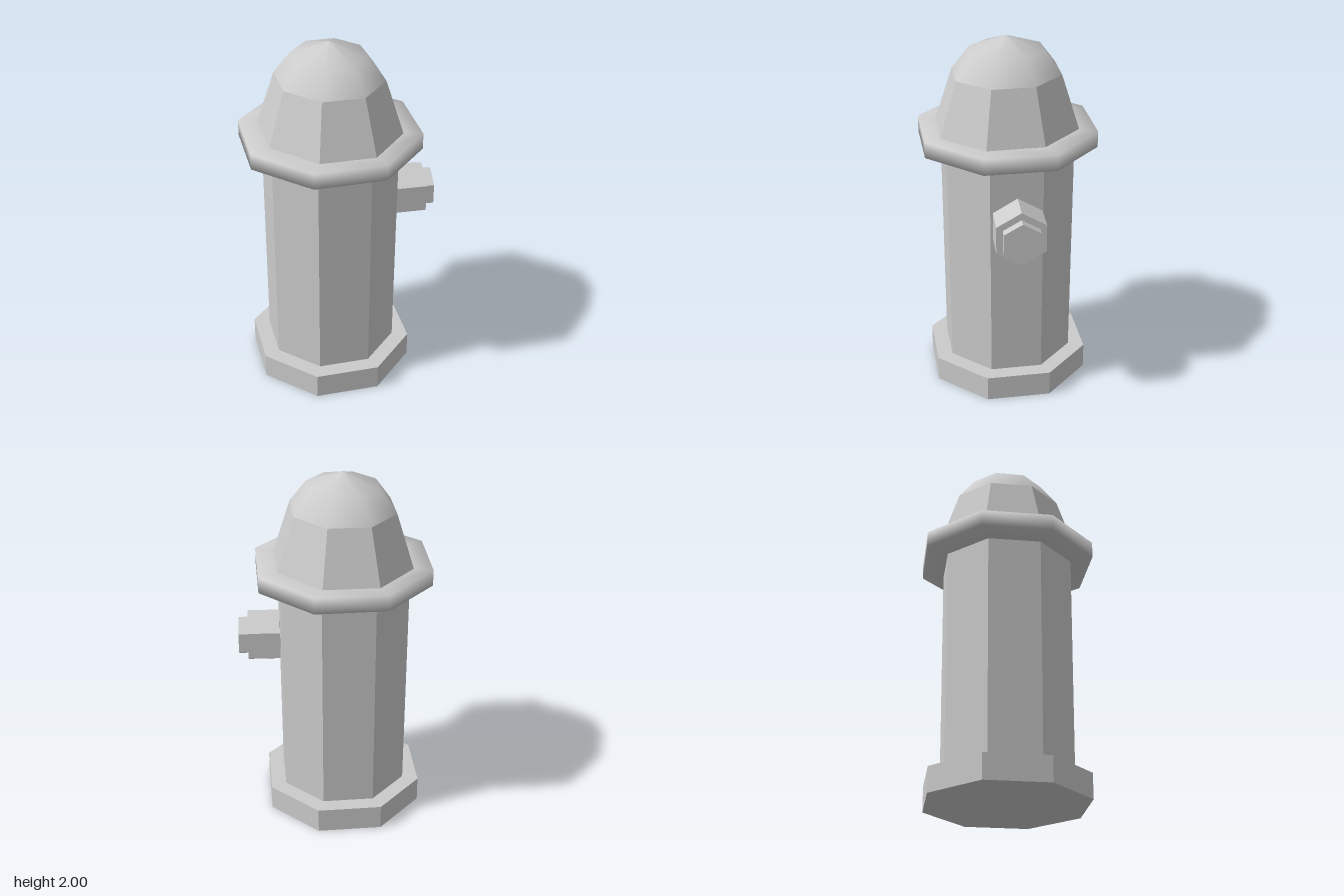
import * as THREE from 'three';

const SIDES = 8;
const AXIS_X = -0.035;

export function createModel() {
  const model = new THREE.Group();
  model.name = 'hydrant';
  const flat = new THREE.MeshStandardMaterial({ color: 0xcccccc, flatShading: true });
  const smooth = new THREE.MeshStandardMaterial({ color: 0xcccccc, side: THREE.DoubleSide });

  const add = (name, geometry, material, parent) => {
    const mesh = new THREE.Mesh(geometry, material);
    mesh.name = name;
    parent.add(mesh);
    return mesh;
  };

  // Faceted prism standing between two heights
  const prism = (rTop, rBottom, y0, y1, open = false) =>
    new THREE.CylinderGeometry(rTop, rBottom, y1 - y0, SIDES, 1, open).translate(0, (y0 + y1) / 2, 0);

  // Softly shaded eight-sided ring or cap from a profile, bottom to top
  const turned = (points) =>
    new THREE.LatheGeometry(points.map(([r, y]) => new THREE.Vector2(r, y)), SIDES);

  // Everything on the vertical axis
  const column = new THREE.Group();
  column.name = 'column';
  column.position.x = AXIS_X;
  model.add(column);

  add('base', prism(0.463, 0.463, 0, 0.142), flat, column);
  add('barrel', prism(0.377, 0.37, 0.14, 1.45), flat, column);
  add('flange', turned([[0.36, 1.395], [0.504, 1.41], [0.504, 1.5], [0.38, 1.5]]), smooth, column);

  // Dome: faceted lower band and smooth crown, slightly deeper than wide
  const dome = new THREE.Group();
  dome.name = 'dome';
  dome.scale.z = 1.06;
  column.add(dome);
  add('domeBand', prism(0.292, 0.389, 1.495, 1.8, true), flat, dome);
  add('domeCrown', turned([[0.292, 1.8], [0.2, 1.925], [0, 2]]), smooth, dome);

  // Hexagonal outlet with its cap, pointing along local +x
  const outlet = new THREE.Group();
  outlet.name = 'outlet';
  outlet.position.set(0.4475, 1.057, 0.205);
  outlet.rotation.y = -THREE.MathUtils.degToRad(25.3);
  model.add(outlet);

  const hexBar = (radius, x0, x1) =>
    new THREE.CylinderGeometry(radius, radius, x1 - x0, 6)
      .rotateY(Math.PI / 2) // puts corners at top and bottom once laid down
      .rotateZ(-Math.PI / 2)
      .translate((x0 + x1) / 2, 0, 0);

  // A hexagon's corner must face up, so check the lay: corners lie on local ±x before tipping
  add('outletPipe', hexBar(0.154, -0.175, 0), flat, outlet);
  add('outletCap', hexBar(0.114, -0.01, 0.052), flat, outlet);

  return model;
}
